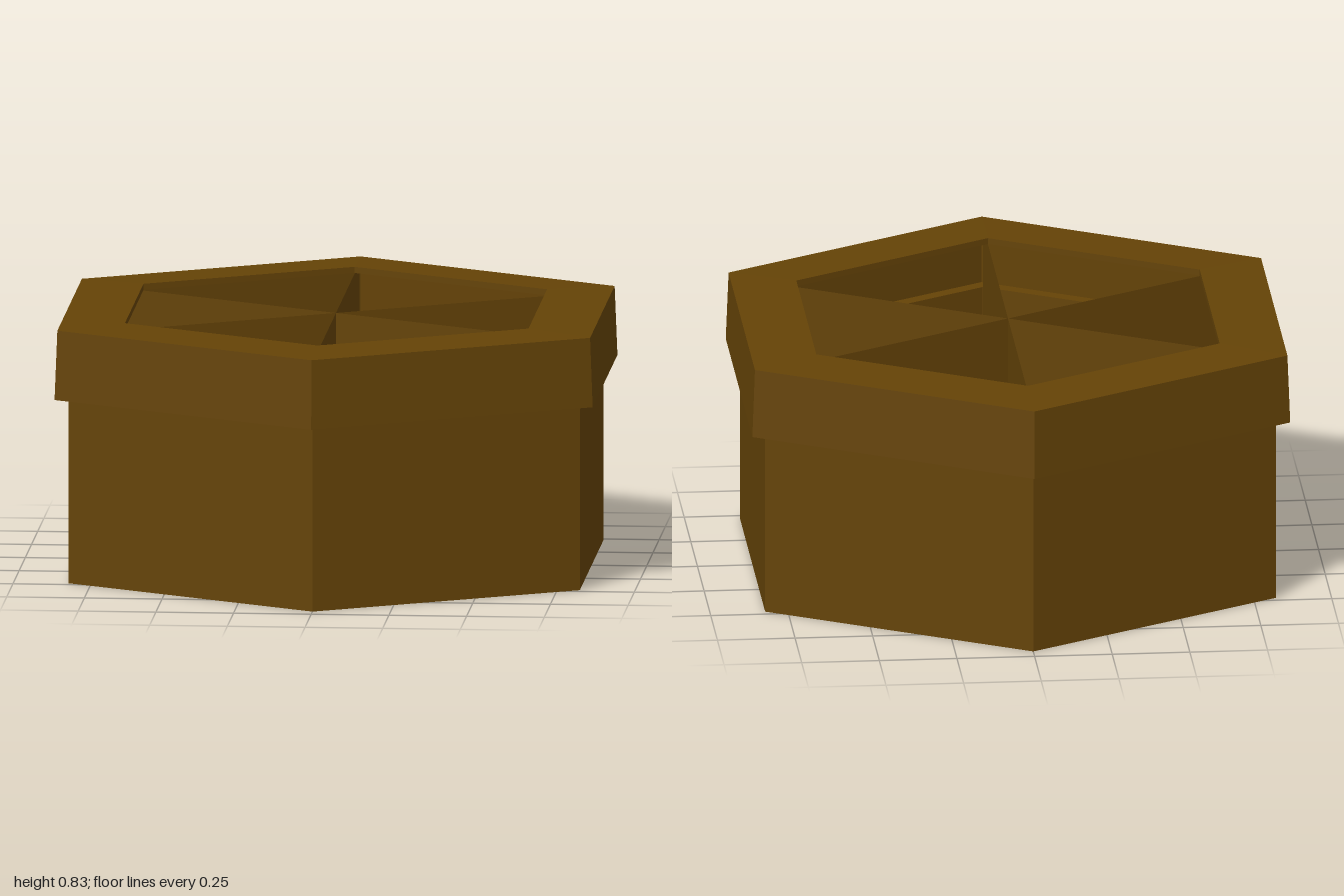
import * as THREE from 'three';

// Thin open walls show from both sides
const wood = new THREE.MeshStandardMaterial({
  name: 'darkWood', color: 0x654306, flatShading: true, side: THREE.DoubleSide,
});

// Six-sided shell turned from a profile of [radius, height] points
function hexShell(name, points) {
  const profile = points.map(([r, y]) => new THREE.Vector2(r, y));
  const geometry = new THREE.LatheGeometry(profile, 6).toNonIndexed();
  geometry.computeVertexNormals();
  const mesh = new THREE.Mesh(geometry, wood);
  mesh.name = name;
  return mesh;
}

export function createModel() {
  const model = new THREE.Group();
  model.name = 'hexagonalBox';

  // Floor and walls
  model.add(hexShell('boxBody', [[0, 0], [0.95, 0], [0.95, 0.6]]));

  // Overhanging, slightly tapered lid with a hexagonal opening
  model.add(hexShell('lidFrame', [
    [0.95, 0.6], [1, 0.6], [0.99, 0.825], [0.75, 0.832], [0.75, 0.812],
  ]));

  // Thin upright dividers from the hub to each corner
  const length = 0.945, height = 0.81;
  const sheet = new THREE.PlaneGeometry(length, height);
  sheet.translate(length / 2, height / 2, 0);
  for (let i = 0; i < 6; i++) {
    const divider = new THREE.Mesh(sheet, wood);
    divider.name = 'divider';
    divider.rotation.y = Math.PI / 6 + (i * Math.PI) / 3;
    model.add(divider);
  }

  return model;
}
